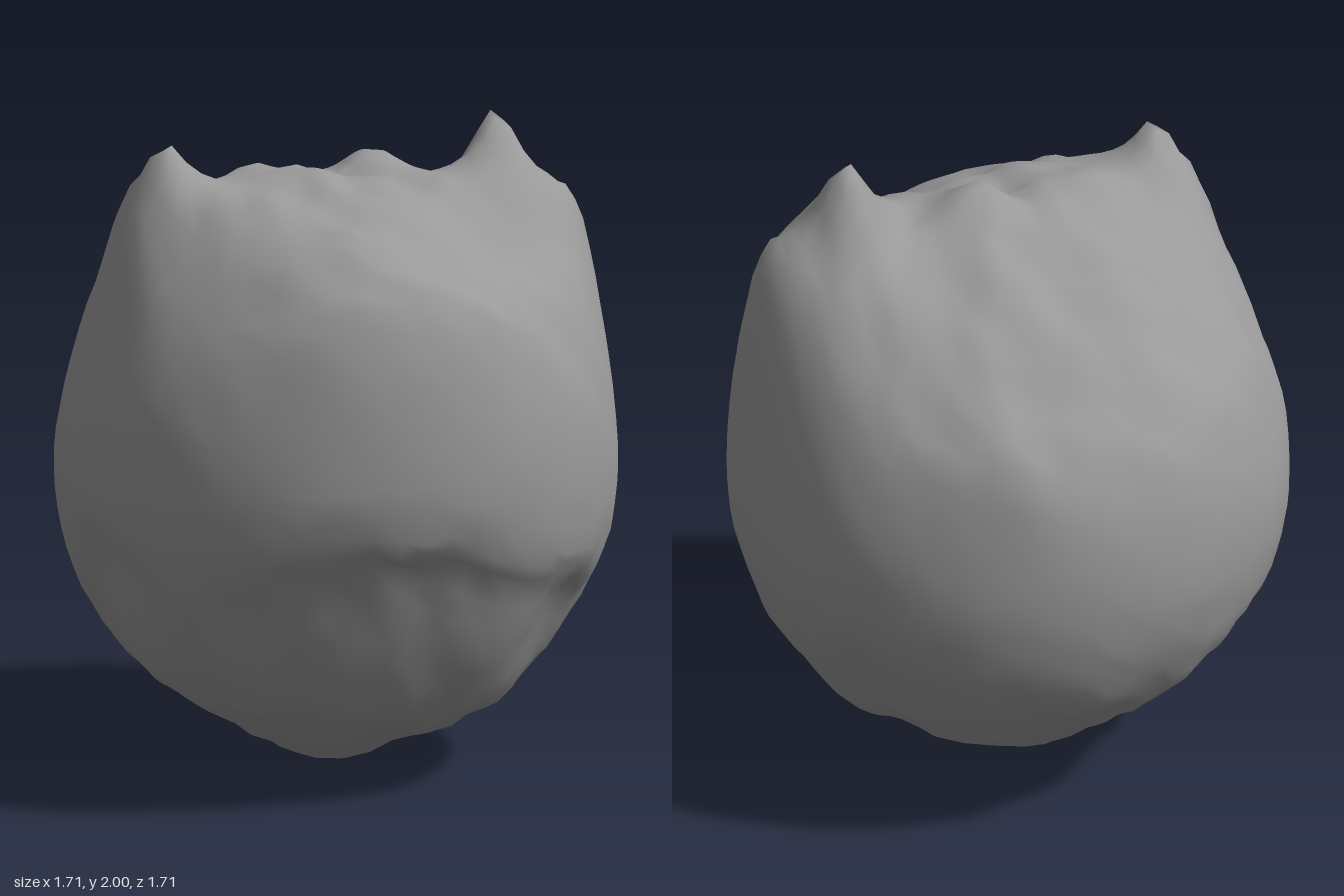
import * as THREE from 'three';
import { mergeVertices } from 'three/addons/utils/BufferGeometryUtils.js';

const R = 0.857, CENTRE = 0.95;

// Upper swells and dents: centre x, y, z on the sphere, radius, lift, sideways stretch
const UPPER = [
  [0.69, 0.50, -0.06, 0.24, 0.31, 1],    // tall left shoulder
  [0.79, 0.32, -0.06, 0.10, 0.15, 1],    // its outer edge
  [0.51, 0.68, -0.10, 0.06, 0.13, 1],    // its peak
  [0.50, 0.69, -0.02, 0.12, 0.07, 1],    // ridge beside the peak
  [-0.61, 0.57, 0.18, 0.18, 0.28, 1],    // right shoulder
  [-0.55, 0.63, 0.18, 0.05, 0.06, 1],    // its peak
  [0, 0.32, 0.79, 0.21, 0.17, 1.7],      // bulging front
  [-0.30, 0.69, 0.40, 0.13, 0.05, 1],    // front rim
  [0.14, 0.83, -0.06, 0.09, 0.08, 1],    // crown knolls
  [-0.22, 0.82, 0.06, 0.12, 0.03, 1],
  [0, 0.85, 0.03, 0.08, -0.06, 1],       // dip on the crown
  [0.36, 0.66, 0.36, 0.10, -0.05, 1.5],  // step below the rim
  [0, 0.66, -0.50, 0.25, -0.09, 1.6],    // sloping back
  [0.30, 0.25, -0.76, 0.11, 0.09, 1],    // fold at the back
];

// Lower ledges and hollows, in the same order
const LOWER = [
  [0, -0.38, 0.75, 0.14, 0.20, 2.1],     // ledge under the front
  [-0.05, -0.12, 0.84, 0.07, 0.06, 4],   // its brow
  [0.56, -0.46, 0.45, 0.15, 0.11, 1],    // ledge at front left
  [0.45, -0.68, 0.28, 0.10, -0.05, 1],   // hollow beneath it
  [-0.74, -0.30, 0.30, 0.12, 0.13, 1],   // ledge at front right
  [-0.84, -0.10, 0.05, 0.08, 0.05, 1],   // ledge on the right side
  [-0.70, -0.48, 0.05, 0.10, 0.03, 1],
  [-0.45, -0.70, 0.05, 0.14, 0.04, 1],
  [0, -0.66, -0.56, 0.20, 0.03, 1.8],    // raised underside at the back
  [-0.45, -0.50, -0.52, 0.12, 0.06, 1],  // ledge at back right
  [0.58, -0.38, -0.50, 0.12, 0.05, 1],   // ledge at back left
  [0, -0.85, -0.06, 0.14, -0.09, 1],     // foot
  [0.28, -0.80, -0.05, 0.10, -0.04, 1],
  [0.85, -0.04, -0.04, 0.05, 0.07, 1],   // small side notch
];

// Seeded value noise
function hash(x, y, z) {
  const s = Math.sin(x * 127.1 + y * 311.7 + z * 74.7 + 5.3) * 43758.5453;
  return (s - Math.floor(s)) * 2 - 1;
}

function noise(x, y, z) {
  const i = [x, y, z].map(Math.floor);
  const f = [x - i[0], y - i[1], z - i[2]].map((t) => t * t * (3 - 2 * t));
  let sum = 0;
  for (let c = 0; c < 8; c++) {
    const b = [c & 1, (c >> 1) & 1, (c >> 2) & 1];
    const w = b.reduce((p, on, k) => p * (on ? f[k] : 1 - f[k]), 1);
    sum += w * hash(i[0] + b[0], i[1] + b[1], i[2] + b[2]);
  }
  return sum;
}

function lift(x, y, z) {
  let d = 0;
  for (const [bx, by, bz, r, amount, stretch] of [...UPPER, ...LOWER]) {
    const q = ((x - bx) / stretch) ** 2 + (y - by) ** 2 + (z - bz) ** 2;
    d += amount * Math.exp(-q / (2 * r * r));
  }
  return d + 0.02 * noise(x * 5, y * 5, z * 5) + 0.022 * noise(x * 11 + 7, y * 11, z * 11);
}

export function createModel() {
  // Sphere, a little taller above its middle, whose points shift only up and down
  let geometry = new THREE.SphereGeometry(R, 72, 44);
  geometry.deleteAttribute('uv');
  geometry.deleteAttribute('normal');
  geometry = mergeVertices(geometry, 1e-4);
  const p = geometry.attributes.position;
  for (let i = 0; i < p.count; i++) {
    const x = p.getX(i), y = p.getY(i), z = p.getZ(i);
    p.setY(i, CENTRE + y * (y > 0 ? 1.06 : 1) + lift(x, y, z));
  }

  // Rest the foot on the ground
  geometry.computeBoundingBox();
  geometry.translate(0, -geometry.boundingBox.min.y, 0);
  geometry.computeVertexNormals();

  const rock = new THREE.Mesh(
    geometry,
    new THREE.MeshStandardMaterial({ color: 0x999999, side: THREE.DoubleSide })
  );
  rock.name = 'rock';
  const group = new THREE.Group();
  group.name = 'boulder';
  group.add(rock);
  return group;
}
